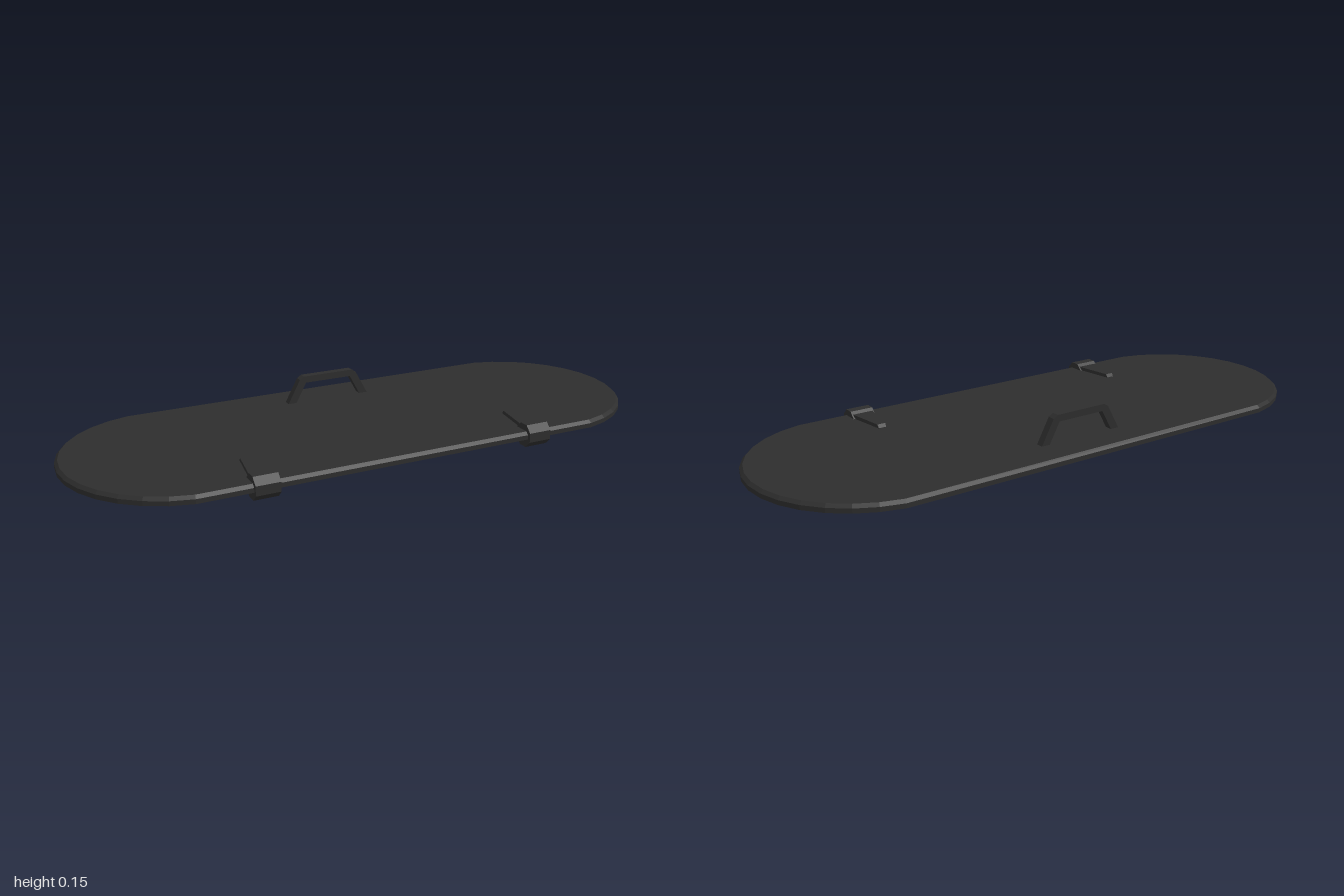
import * as THREE from 'three';

const black = new THREE.MeshStandardMaterial({ color: 0x2d2d2d });
black.name = 'black';

// Stadium outline: straight long sides, faceted rounded ends
function outline(inset) {
  const r = 0.376 - inset, cx = 0.624, a = 1.395, n = 14, pts = [];
  for (const side of [0, Math.PI]) {
    for (let i = 0; i <= n; i++) {
      const t = side - a + (2 * a * i) / n;
      pts.push([Math.cos(t) * r + (side ? -cx : cx), Math.sin(t) * r]);
    }
  }
  return pts;
}

// Solid stacked from outlines, given as [inset, height] from bottom to top
function stack(levels, z0) {
  const rings = levels.map(([inset, y]) => outline(inset).map(([x, z]) => [x, y, z + z0]));
  const n = rings[0].length, pos = [];
  const tri = (a, b, c) => pos.push(...a, ...b, ...c);
  for (let k = 0; k + 1 < rings.length; k++) {
    const lo = rings[k], hi = rings[k + 1];
    for (let i = 0; i < n; i++) {
      const j = (i + 1) % n;
      tri(lo[i], hi[i], hi[j]);
      tri(lo[i], hi[j], lo[j]);
    }
  }
  const bottom = rings[0], top = rings[rings.length - 1];
  for (let i = 1; i + 1 < n; i++) {
    tri(bottom[0], bottom[i], bottom[i + 1]);
    tri(top[0], top[i + 1], top[i]);
  }
  const g = new THREE.BufferGeometry();
  g.setAttribute('position', new THREE.Float32BufferAttribute(pos, 3));
  g.computeVertexNormals();
  return g;
}

function add(parent, name, geometry) {
  const m = new THREE.Mesh(geometry, black);
  m.name = name;
  parent.add(m);
  return m;
}

const polygon = (pts) => new THREE.Shape(pts.map(([x, y]) => new THREE.Vector2(x, y)));

// Hinge: octagonal barrel with a strap that narrows towards the lid centre
function hinge(name, x) {
  const group = new THREE.Group();
  group.name = name;
  const barrel = new THREE.CylinderGeometry(0.0408, 0.0408, 0.08, 8, 1, false, Math.PI / 8)
    .toNonIndexed();
  barrel.rotateZ(Math.PI / 2);
  barrel.computeVertexNormals();
  add(group, 'hingeBarrel', barrel).position.set(0, 0.038, 0.339);

  // Side profile in (z, y), extruded across x and then tapered
  const strap = new THREE.ExtrudeGeometry(
    polygon([[0.175, 0.045], [0.34, 0.045], [0.34, 0.067], [0.182, 0.067], [0.175, 0.056]]),
    { depth: 1, bevelEnabled: false });
  const p = strap.attributes.position;
  for (let i = 0; i < p.count; i++) {
    const z = p.getX(i), t = (z - 0.175) / 0.165;
    p.setXYZ(i, (0.5 - p.getZ(i)) * THREE.MathUtils.lerp(0.026, 0.08, t), p.getY(i), z);
  }
  strap.computeVertexNormals();
  add(group, 'hingeStrap', strap);
  group.position.x = x;
  return group;
}

export function createModel() {
  const model = new THREE.Group();
  model.name = 'lid';

  // Lid plate with chamfered top edge, and the smaller plug beneath it
  add(model, 'lidPlate', stack([[0, 0.03], [0, 0.045], [0.01, 0.055]], -0.005));
  add(model, 'lidPlug', stack([[0.05, 0.012], [0.05, 0.03]], -0.005));

  model.add(hinge('leftHinge', 0.475), hinge('rightHinge', -0.475));

  // Handle: bent flat bar near the back edge
  const half = [[0.155, 0.05], [0.108, 0.137], [0.092, 0.147]];
  const inner = [[0.085, 0.124], [0.125, 0.05]];
  const mirror = (pts) => pts.map(([x, y]) => [-x, y]).reverse();
  const handle = new THREE.ExtrudeGeometry(
    polygon([...half, ...mirror(half), ...mirror(inner), ...inner]),
    { depth: 0.026, bevelEnabled: false });
  add(model, 'handle', handle).position.z = -0.262;

  return model;
}
